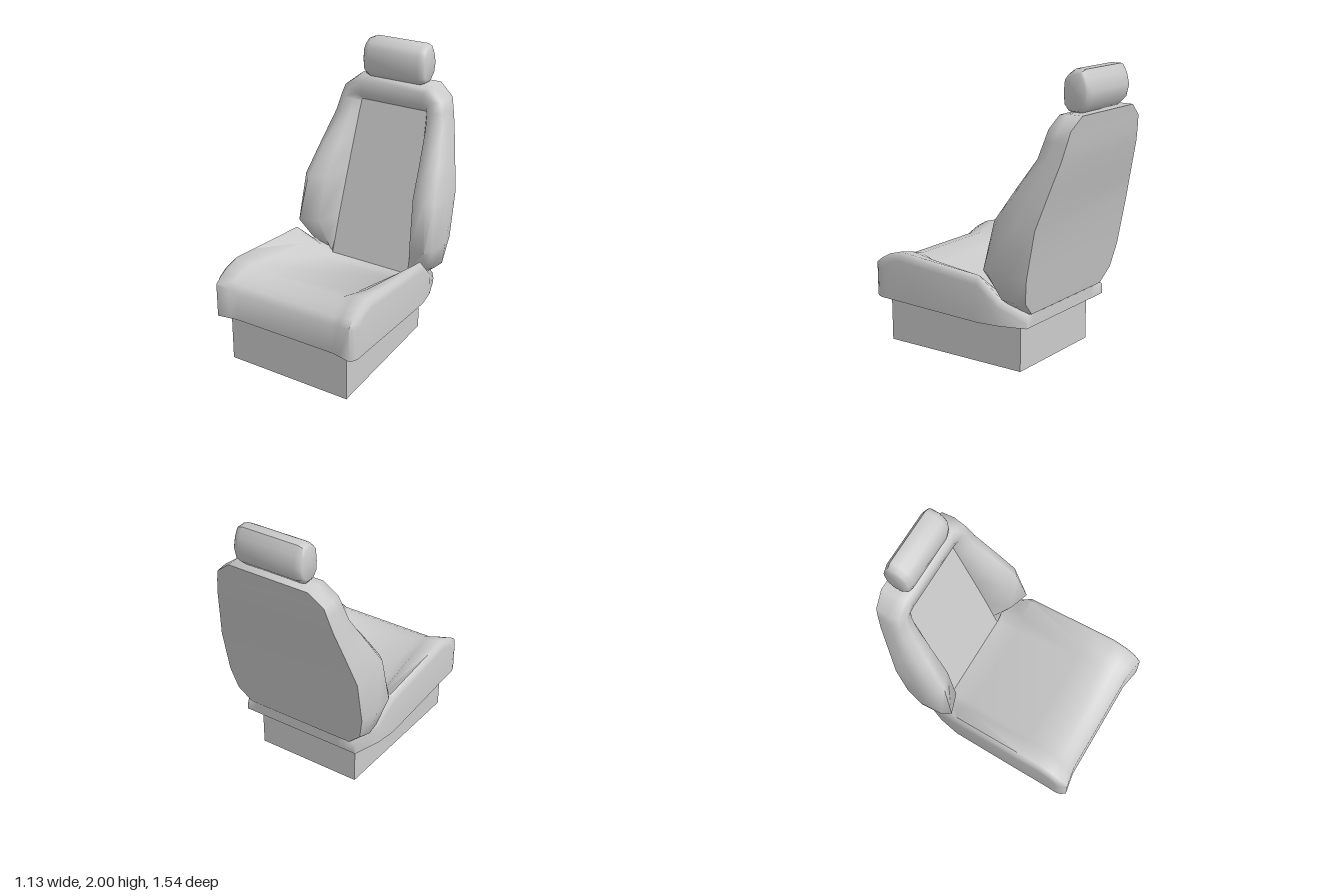
import * as THREE from 'three';
import { toCreasedNormals } from 'three/addons/utils/BufferGeometryUtils.js';

const material = new THREE.MeshStandardMaterial({ color: 0xcccccc, side: THREE.DoubleSide });

// Skin a list of equal-length cross-sections; closed joins each ring, caps fills both ends.
function loft(name, rings, { closed = false, caps = false, crease = 1 } = {}) {
  const n = rings[0].length;
  const pos = rings.flat(2);
  const index = [];
  for (let i = 0; i < rings.length - 1; i++) {
    for (let j = 0; j < (closed ? n : n - 1); j++) {
      const k = (j + 1) % n;
      const a = i * n + j, b = i * n + k, c = b + n, d = a + n;
      index.push(a, b, c, a, c, d);
    }
  }
  if (caps) {
    [0, rings.length - 1].forEach((r, end) => {
      const centre = [0, 1, 2].map(k => rings[r].reduce((s, p) => s + p[k], 0) / n);
      const c = pos.length / 3;
      pos.push(...centre);
      for (let j = 0; j < n; j++) {
        const a = r * n + j, b = r * n + (j + 1) % n;
        index.push(...(end ? [c, a, b] : [c, b, a]));
      }
    });
  }
  const geometry = new THREE.BufferGeometry();
  geometry.setAttribute('position', new THREE.Float32BufferAttribute(pos, 3));
  geometry.setIndex(index);
  const mesh = new THREE.Mesh(toCreasedNormals(geometry, crease), material);
  mesh.name = name;
  return mesh;
}

const mirror = ([x, y, z]) => [-x, y, z];

// Open plinth, narrower at the rear
function createBase() {
  const ring = y => [[-0.465, y, 0.705], [0.465, y, 0.705], [0.385, y, -0.365], [-0.385, y, -0.365]];
  return loft('base', [ring(0), ring(0.34)], { closed: true });
}

// Cushion shell: sloping centre between raised side bolsters, tapering at the rear
function createCushion() {
  // bolster z, bolster y, centre z, centre y, centre half width, side wall z, half width
  const stations = [
    [0.772, 0.34, 0.745, 0.34, 0.38, 0.71, 0.56],
    [0.772, 0.58, 0.745, 0.54, 0.38, 0.71, 0.56],
    [0.72, 0.62, 0.70, 0.58, 0.365, 0.69, 0.56],
    [0.65, 0.66, 0.64, 0.613, 0.35, 0.64, 0.558],
    [0.55, 0.69, 0.54, 0.635, 0.325, 0.55, 0.556],
    [0.37, 0.68, 0.37, 0.595, 0.325, 0.37, 0.554],
    [-0.13, 0.655, -0.13, 0.47, 0.325, -0.13, 0.545],
    [-0.28, 0.52, -0.28, 0.435, 0.325, -0.28, 0.515],
    [-0.46, 0.43, -0.46, 0.425, 0.31, -0.46, 0.445],
    [-0.46, 0.34, -0.46, 0.34, 0.31, -0.46, 0.445],
  ];
  const rings = stations.map(([z, y, cz, cy, cx, sz, w]) => {
    const half = [
      [cx, cy, cz],
      [cx + (w - cx) * 0.35, cy + (y - cy) * 0.5, cz + (z - cz) * 0.4],
      [w - 0.03, y, z],
      [w - 0.008, Math.max(0.34, y - 0.02), (z + sz) / 2],
      [w, Math.max(0.34, y - 0.06), sz],
      [w, 0.34, sz],
    ];
    return [...half.map(mirror).reverse(), ...half];
  });
  return loft('seatCushion', rings, { crease: 1.3 });
}

// Backrest: padded frame swept up one side, over the top and down the other,
// with a recessed front panel and a flat rear panel
function createBackrest() {
  // panel edge, inner crest, front, widest side, rear edge
  const side = [
    [[0.32, 0.43, -0.30], [0.34, 0.43, -0.32], [0.36, 0.43, -0.35], [0.41, 0.43, -0.42], [0.40, 0.43, -0.467]],
    [[0.316, 0.53, -0.328], [0.37, 0.53, -0.29], [0.48, 0.53, -0.28], [0.53, 0.53, -0.42], [0.495, 0.53, -0.487]],
    [[0.312, 0.70, -0.375], [0.38, 0.70, -0.215], [0.52, 0.70, -0.167], [0.565, 0.70, -0.39], [0.53, 0.70, -0.52]],
    [[0.296, 1.03, -0.466], [0.36, 1.03, -0.28], [0.48, 1.03, -0.228], [0.542, 1.03, -0.42], [0.53, 1.03, -0.582]],
    [[0.284, 1.25, -0.527], [0.335, 1.25, -0.405], [0.43, 1.25, -0.365], [0.495, 1.25, -0.53], [0.482, 1.25, -0.645]],
    [[0.272, 1.46, -0.585], [0.31, 1.46, -0.52], [0.375, 1.46, -0.505], [0.447, 1.46, -0.60], [0.435, 1.46, -0.707]],
    [[0.266, 1.535, -0.606], [0.302, 1.555, -0.545], [0.365, 1.57, -0.535], [0.422, 1.57, -0.64], [0.41, 1.57, -0.73]],
    [[0.262, 1.55, -0.61], [0.285, 1.59, -0.56], [0.34, 1.635, -0.552], [0.40, 1.645, -0.655], [0.392, 1.645, -0.743]],
    [[0.25, 1.55, -0.61], [0.245, 1.60, -0.562], [0.26, 1.685, -0.566], [0.29, 1.73, -0.65], [0.29, 1.73, -0.76]],
  ];
  const sections = side.map(([panel, crest, front, wide, rear]) => {
    // rounded shoulder between the front and the widest point
    const shoulder = front.map((v, k) => v + (wide[k] - v) * [0.8, 0.8, 0.25][k]);
    return [panel, crest, front, shoulder, wide, rear];
  });
  const sweep = [...sections, ...sections.map(s => s.map(mirror)).reverse()];
  // flat faces between the mirrored ends of the frame
  const span = k => sections.map(s => [mirror(s[k]), s[k]]);
  const backrest = new THREE.Group();
  backrest.name = 'backrest';
  backrest.add(
    loft('backrestFrame', sweep, { crease: 1.3 }),
    loft('frontPanel', span(0)),
    loft('rearPanel', span(5).map(r => r.reverse())),
  );
  return backrest;
}

// Headrest: rounded bar with softened ends
function createHeadrest() {
  const profile = [
    [-0.572, 1.85], [-0.58, 1.935], [-0.605, 1.97], [-0.65, 2.0], [-0.72, 2.0], [-0.75, 1.945],
    [-0.77, 1.865], [-0.75, 1.78], [-0.695, 1.728], [-0.615, 1.728], [-0.58, 1.77],
  ];
  const ends = [[0.247, 0.76], [0.236, 0.9], [0.2, 1]];
  const sections = [...ends, ...ends.map(([x, s]) => [-x, s]).reverse()];
  const rings = sections.map(([x, s]) =>
    profile.map(([z, y]) => [x, 1.864 + (y - 1.864) * s, -0.671 + (z + 0.671) * s]));
  return loft('headrest', rings, { closed: true, caps: true });
}

export function createModel() {
  const group = new THREE.Group();
  group.name = 'seat';
  group.add(createBase(), createCushion(), createBackrest(), createHeadrest());
  return group;
}
